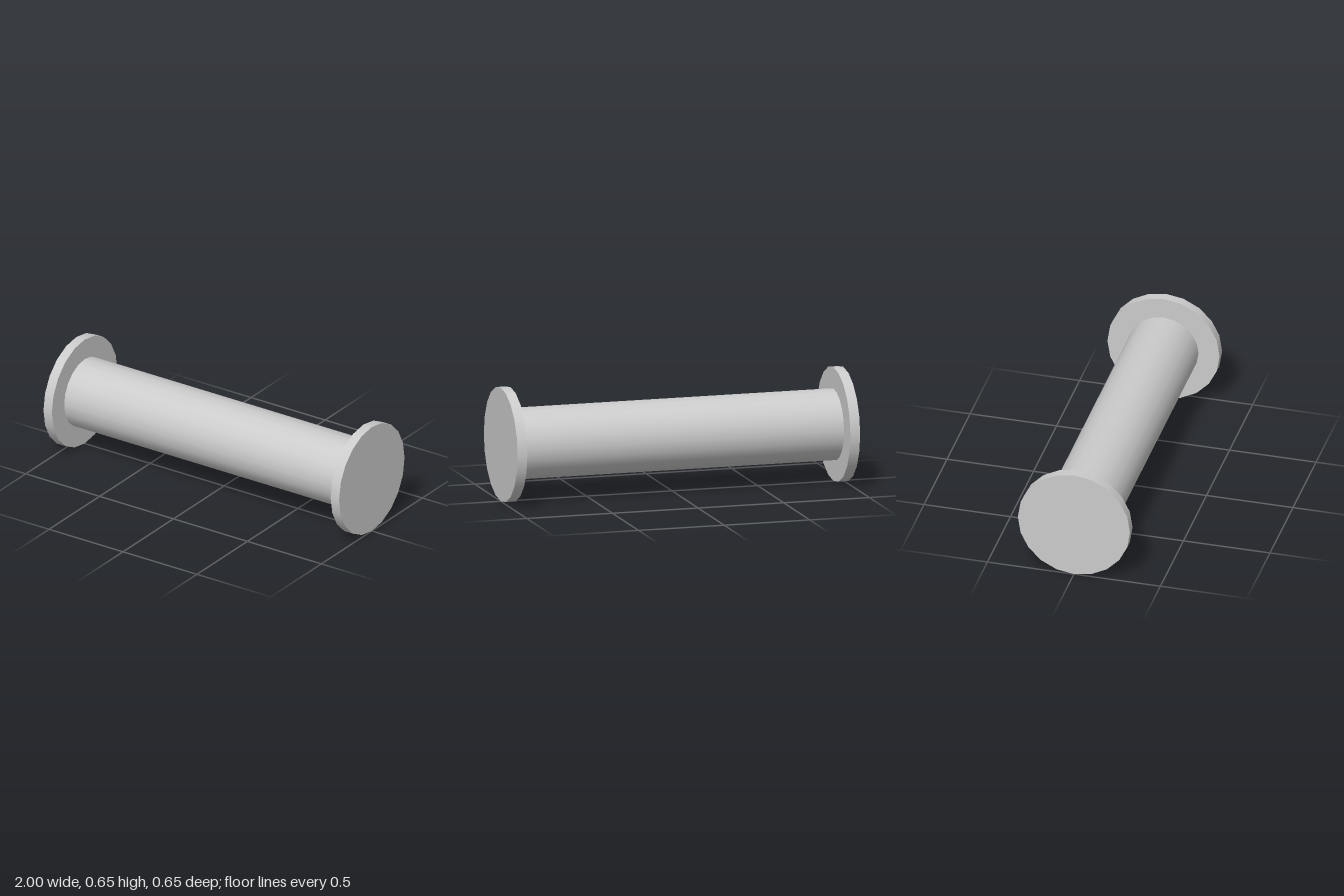
import * as THREE from 'three';

const SIDES = 20;
const FLANGE_RADIUS = 0.324;
const FLANGE_THICKNESS = 0.057;
const BARREL_RADIUS = 0.202;

export function createModel() {
  const group = new THREE.Group();
  group.name = 'spool';
  const material = new THREE.MeshStandardMaterial({ color: 0xcccccc });

  // Cylinder lying along x, resting at flange-centre height
  function addCylinder(name, radius, length, x) {
    const geometry = new THREE.CylinderGeometry(radius, radius, length, SIDES);
    geometry.rotateZ(Math.PI / 2);
    const mesh = new THREE.Mesh(geometry, material);
    mesh.name = name;
    mesh.position.set(x, FLANGE_RADIUS, 0);
    group.add(mesh);
  }

  // Central barrel between the flanges
  addCylinder('barrel', BARREL_RADIUS, 2 - 2 * FLANGE_THICKNESS, 0);

  // End flanges
  for (const side of [-1, 1]) {
    addCylinder(side > 0 ? 'leftFlange' : 'rightFlange', FLANGE_RADIUS, FLANGE_THICKNESS,
      side * (1 - FLANGE_THICKNESS / 2));
  }

  return group;
}
